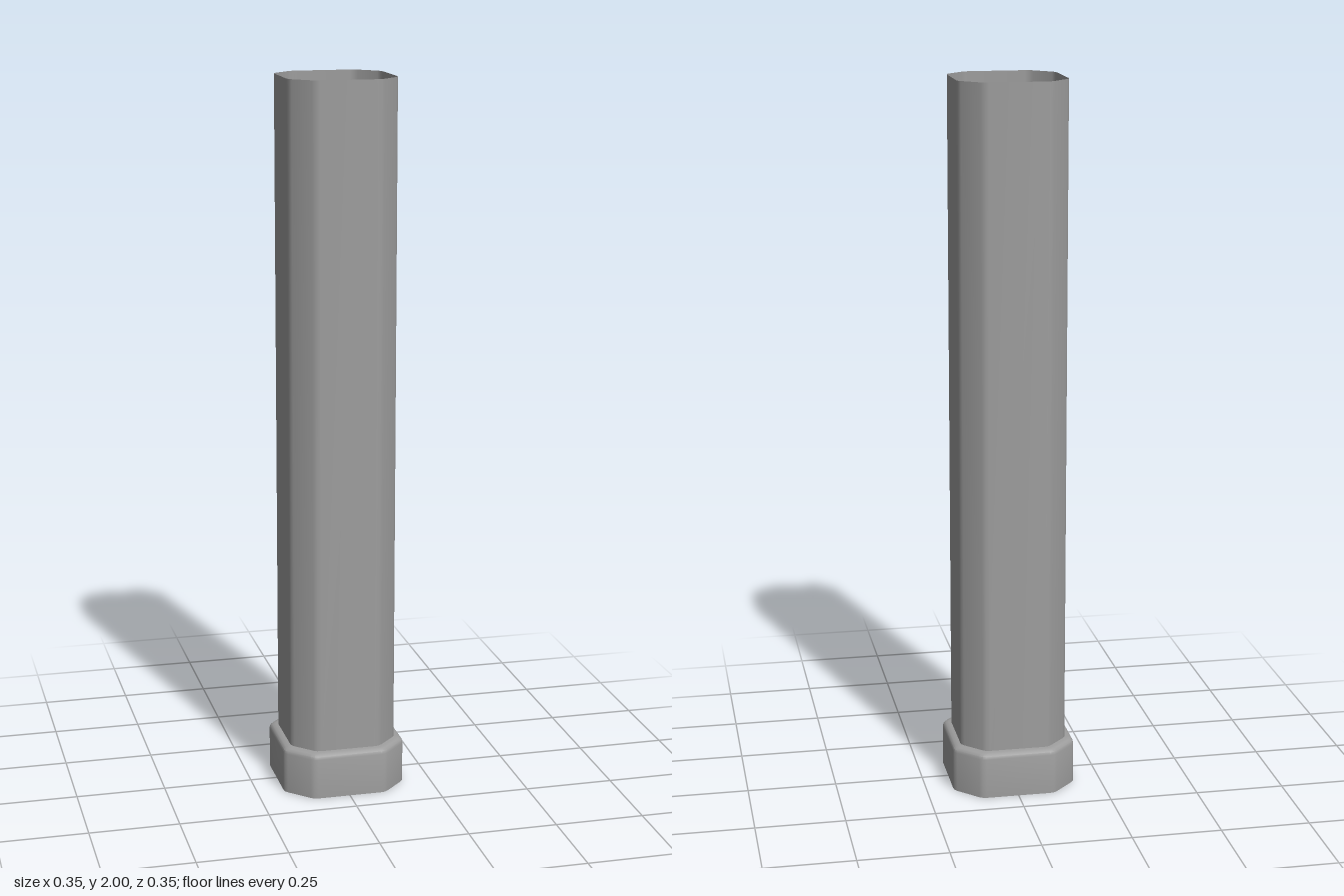
import * as THREE from 'three';
import { toCreasedNormals } from 'three/addons/utils/BufferGeometryUtils.js';

// Octagonal outline with slightly rounded corners; h = half width across the flats
function outline(h) {
  const c = 0.09 + (h - 0.151) * 0.58; // half length of a long flat
  const corners = [[h, -c], [h, c], [c, h], [-c, h], [-h, c], [-h, -c], [-c, -h], [c, -h]]
    .map(([x, z]) => new THREE.Vector2(x, z));
  const points = [];
  corners.forEach((p, i) => {
    const toward = (q) => p.clone().add(q.clone().sub(p).setLength(0.012));
    const curve = new THREE.QuadraticBezierCurve(
      toward(corners[(i + 7) % 8]), p, toward(corners[(i + 1) % 8]));
    points.push(...curve.getPoints(2));
  });
  return points;
}

// Skin a profile of [half width, height] around the outline
function loft(profile) {
  const position = [], index = [];
  const n = outline(0.15).length;
  for (const [h, y] of profile) for (const p of outline(h)) position.push(p.x, y, p.y);
  for (let r = 0; r < profile.length - 1; r++) {
    for (let i = 0; i < n; i++) {
      const a = r * n + i, b = r * n + (i + 1) % n;
      index.push(a, a + n, b, b, a + n, b + n);
    }
  }
  const geometry = new THREE.BufferGeometry();
  geometry.setAttribute('position', new THREE.Float32BufferAttribute(position, 3));
  geometry.setIndex(index);
  return toCreasedNormals(geometry, 0.6);
}

export function createModel() {
  const group = new THREE.Group();
  const material = new THREE.MeshStandardMaterial({ color: 0x9d9d9d, side: THREE.DoubleSide });
  const add = (name, profile) => {
    const mesh = new THREE.Mesh(loft(profile), material);
    mesh.name = name;
    group.add(mesh);
  };

  // Thin open pipe
  add('shaft', [[0.151, 0.115], [0.151, 2]]);

  // Socket collar: inner ledge, inner wall, bottom rim, outer wall, rounded shoulder
  add('collar', [
    [0.151, 0.115], [0.159, 0.105], [0.159, 0],
    [0.174, 0], [0.174, 0.115], [0.172, 0.123], [0.166, 0.129], [0.158, 0.131], [0.151, 0.132],
  ]);
  return group;
}
